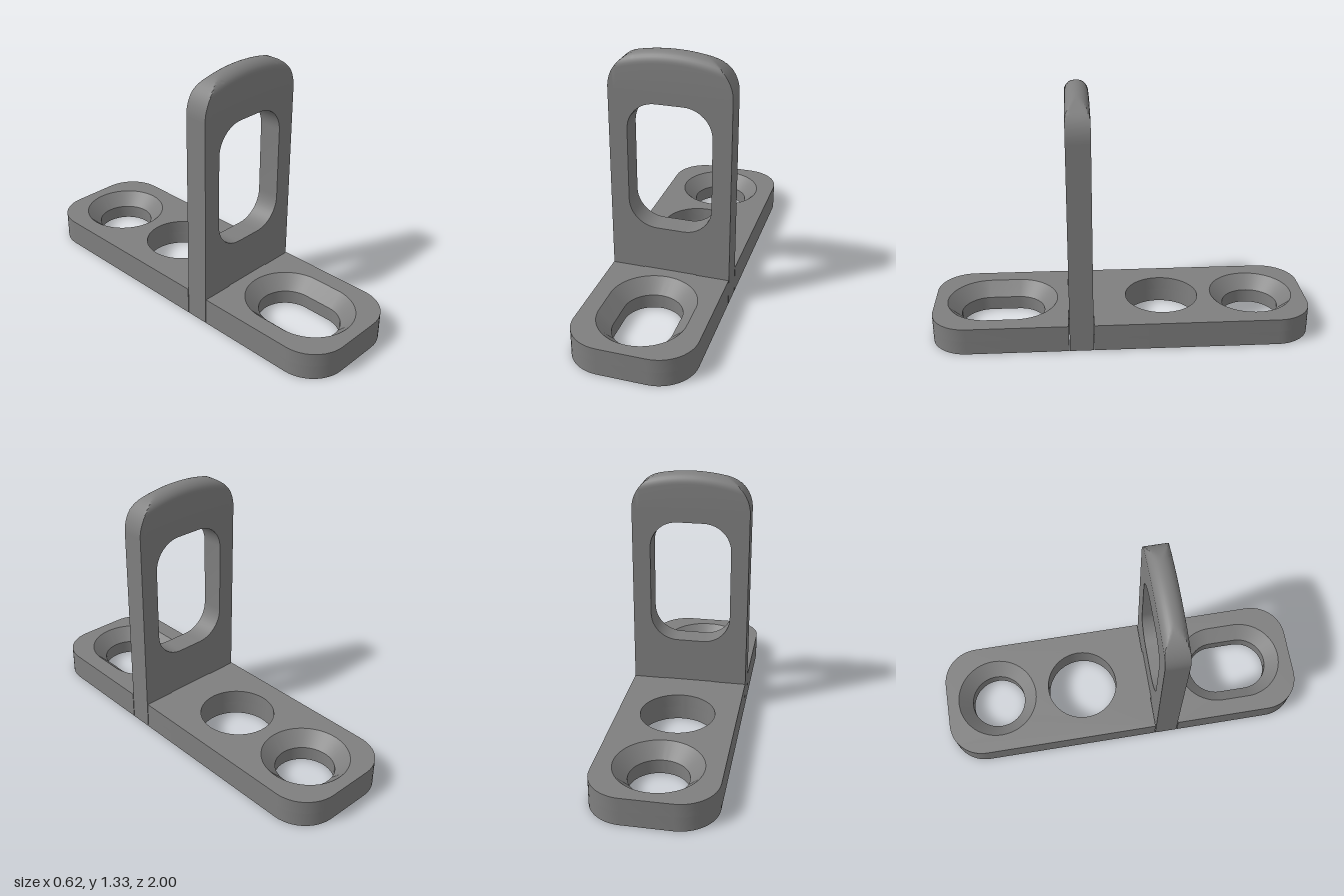
import * as THREE from 'three';
import { toCreasedNormals } from 'three/addons/utils/BufferGeometryUtils.js';

const HALF_W = 0.3125, BASE_H = 0.145, SINK_Y = 0.075, CORNER = 0.19;
const PLATE_Z = 0.2185, PLATE_HALF = 0.0615, SHOULDER_Y = 1.124;
const TAB_X = 0.14, NOTCH_HALF = 0.0655;

const material = new THREE.MeshStandardMaterial({ color: 0x7f7f7f });

function addMesh(parent, name, geometry) {
  const mesh = new THREE.Mesh(toCreasedNormals(geometry, 0.6), material);
  mesh.name = name;
  parent.add(mesh);
}

const toPoints = pairs => pairs.map(([x, y]) => new THREE.Vector2(x, y));

// Rectangle with rounded corners, as points
function roundedRect(x0, y0, x1, y1, r, n = 12) {
  const pts = [];
  const centres = [[x1 - r, y1 - r], [x0 + r, y1 - r], [x0 + r, y0 + r], [x1 - r, y0 + r]];
  centres.forEach(([cx, cy], k) => {
    for (let i = 0; i <= n; i++) {
      const a = (k + i / n) * Math.PI / 2;
      pts.push(new THREE.Vector2(cx + r * Math.cos(a), cy + r * Math.sin(a)));
    }
  });
  return pts;
}

// Circle stretched along y by a straight part
function slot(cy, r, half, n = 64) {
  return Array.from({ length: n }, (_, i) => {
    const a = (i + 0.5) / n * Math.PI * 2;
    return new THREE.Vector2(r * Math.cos(a), cy + r * Math.sin(a) + Math.sign(Math.sin(a)) * half);
  });
}

// Indexed mesh from rows of points with equal length
function loft(rows) {
  const m = rows[0].length, index = [];
  for (let i = 0; i < rows.length - 1; i++) {
    for (let j = 0; j < m - 1; j++) {
      const a = i * m + j, b = a + m;
      index.push(a, b, a + 1, b, b + 1, a + 1);
    }
  }
  const geometry = new THREE.BufferGeometry().setFromPoints(rows.flat());
  geometry.setIndex(index);
  geometry.computeVertexNormals();
  return geometry;
}

// Base outline with a notch in each long side for the tabs of the upright
function baseOutline() {
  const pts = roundedRect(-HALF_W, -1, HALF_W, 1, CORNER);
  const low = -PLATE_Z - NOTCH_HALF, high = -PLATE_Z + NOTCH_HALF;
  const right = toPoints([[HALF_W, low], [TAB_X, low], [TAB_X, high], [HALF_W, high]]);
  const left = toPoints([[-HALF_W, high], [-TAB_X, high], [-TAB_X, low], [-HALF_W, low]]);
  const middle = pts.length / 2;
  return [...pts.slice(0, middle), ...left, ...pts.slice(middle), ...right];
}

// Flat layer of the base between two heights
function baseLayer(y0, y1, holes) {
  const shape = new THREE.Shape(baseOutline());
  shape.holes = holes.map(points => new THREE.Path(points));
  const geometry = new THREE.ExtrudeGeometry(shape, { depth: y1 - y0, bevelEnabled: false });
  return geometry.rotateX(-Math.PI / 2).translate(0, y0, 0);
}

export function createModel() {
  const group = new THREE.Group();
  group.name = 'mountingBracket';

  // Base bar: narrow holes below, wide countersink rims above
  const base = new THREE.Group();
  base.name = 'base';
  group.add(base);
  const sinks = [
    { name: 'roundCountersink', cy: 0.713, half: 0 },
    { name: 'slotCountersink', cy: -0.637, half: 0.073 },
  ];
  const centreHole = slot(0.222, 0.195, 0);
  const inner = sinks.map(s => slot(s.cy, 0.15, s.half));
  const outer = sinks.map(s => slot(s.cy, 0.222, s.half));
  addMesh(base, 'baseLower', baseLayer(0, SINK_Y, [centreHole, ...inner]));
  addMesh(base, 'baseUpper', baseLayer(SINK_Y, BASE_H, [centreHole, ...outer]));

  // Sloping countersink walls
  sinks.forEach((s, k) => {
    const ring = (pts, y) => [...pts, pts[0]].map(p => new THREE.Vector3(p.x, y, -p.y));
    addMesh(base, s.name, loft([ring(inner[k], SINK_Y), ring(outer[k], BASE_H)]));
  });

  // Upright plate with a rounded window and two tabs through the base
  const upright = new THREE.Group();
  upright.name = 'upright';
  group.add(upright);
  const panel = new THREE.Shape(toPoints([
    [-HALF_W, 0], [-TAB_X, 0], [-TAB_X, BASE_H], [TAB_X, BASE_H],
    [TAB_X, 0], [HALF_W, 0], [HALF_W, SHOULDER_Y], [-HALF_W, SHOULDER_Y],
  ]));
  panel.holes.push(new THREE.Path(roundedRect(-0.218, 0.387, 0.216, 1.063, 0.147)));
  const panelGeometry = new THREE.ExtrudeGeometry(panel, { depth: PLATE_HALF * 2, bevelEnabled: false });
  addMesh(upright, 'uprightPanel', panelGeometry.translate(0, 0, PLATE_Z - PLATE_HALF));

  // Crowned top: shoulders run smoothly into the crown, edge rounded through the thickness
  const rows = [], stations = 64, steps = 16, crownR = 0.9, edge = 0.057;
  const shoulderX = HALF_W - CORNER, tangentX = shoulderX * crownR / (crownR - CORNER);
  for (let i = 0; i <= stations; i++) {
    const x = -HALF_W * Math.cos(Math.PI * i / stations);
    const out = Math.abs(x) - shoulderX;
    const crown = 1.325 - crownR + Math.sqrt(crownR * crownR - x * x);
    const outline = Math.abs(x) < tangentX
      ? crown
      : SHOULDER_Y + Math.sqrt(Math.max(0, CORNER * CORNER - out * out));
    const row = [new THREE.Vector3(x, SHOULDER_Y, PLATE_Z + PLATE_HALF)];
    for (let j = 0; j <= steps; j++) {
      const t = Math.PI * j / steps;
      const y = Math.min(outline, crown - edge * (1 - Math.sin(t)));
      row.push(new THREE.Vector3(x, y, PLATE_Z + PLATE_HALF * Math.cos(t)));
    }
    row.push(new THREE.Vector3(x, SHOULDER_Y, PLATE_Z - PLATE_HALF));
    rows.push(row);
  }
  addMesh(upright, 'uprightTop', loft(rows));

  return group;
}
